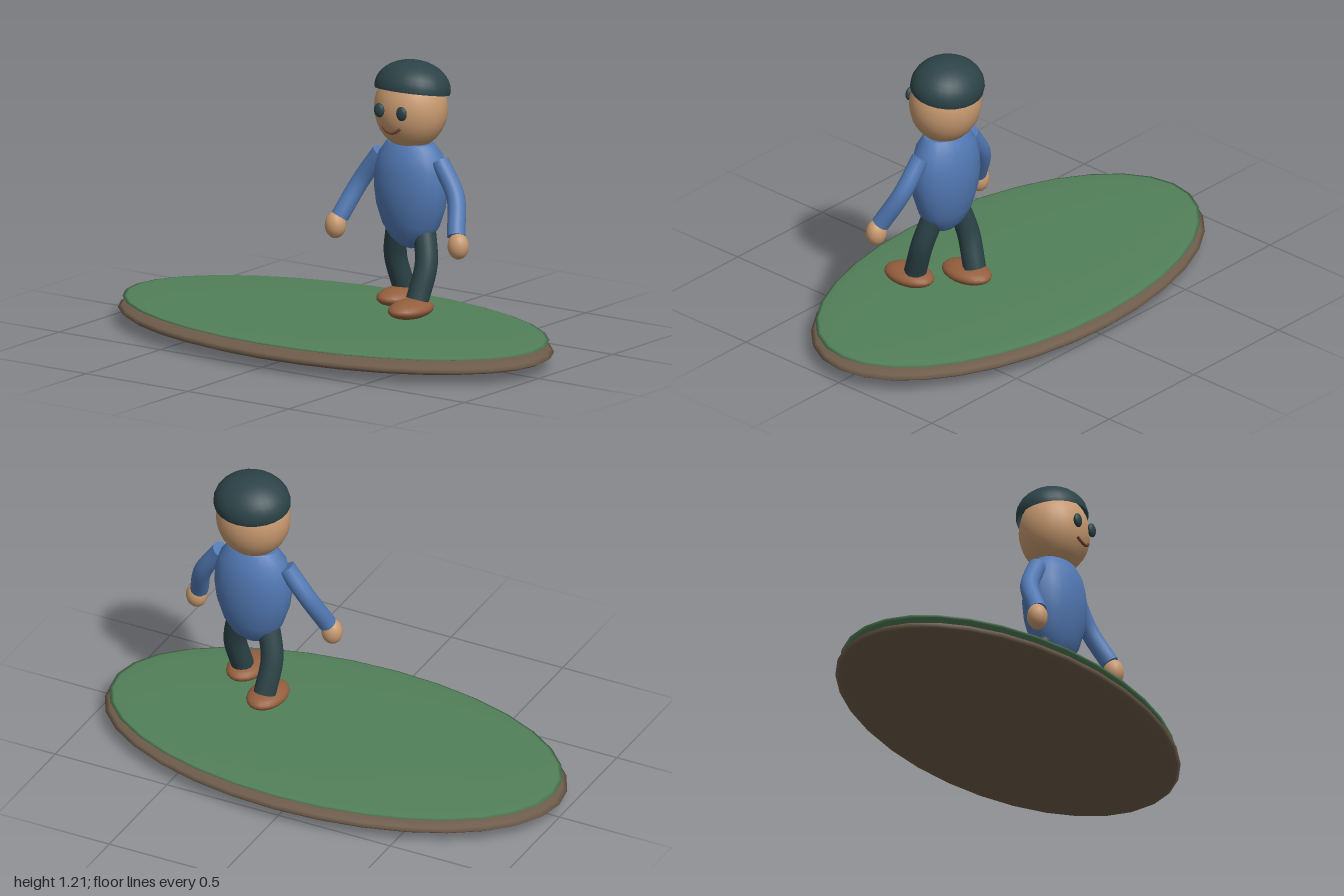
import * as THREE from 'three';

const material = (name, color) => {
  const m = new THREE.MeshStandardMaterial({ color });
  m.name = name;
  return m;
};

export function createModel() {
  const grass = material('grass green', 0x528059);
  const soil = material('soil brown', 0x6e5c4a);
  const skin = material('skin', 0xc89a70);
  const shirt = material('shirt blue', 0x5279b4);
  const dark = material('dark slate', 0x2c4348);
  const leather = material('shoe brown', 0x945f3e);
  const lip = material('mouth brown', 0x70432c);

  const model = new THREE.Group();
  model.name = 'walkingFigureOnIsland';

  const add = (parent, name, geometry, mat, pos = [0, 0, 0]) => {
    const mesh = new THREE.Mesh(geometry, mat);
    mesh.name = name;
    mesh.position.set(...pos);
    parent.add(mesh);
    return mesh;
  };
  const ellipsoid = (parent, name, mat, pos, size, w = 24, h = 16) =>
    add(parent, name, new THREE.SphereGeometry(1, w, h).scale(...size), mat, pos);

  // Curved limb with flat closed ends
  const limb = (parent, name, mat, points, radius) => {
    const curve = new THREE.CatmullRomCurve3(points.map(p => new THREE.Vector3(...p)));
    const group = new THREE.Group();
    group.name = name;
    parent.add(group);
    add(group, name + 'Tube', new THREE.TubeGeometry(curve, 16, radius, 14), mat);
    for (const t of [0, 1]) {
      const cap = add(group, name + 'Cap', new THREE.CircleGeometry(radius, 14), mat);
      cap.position.copy(curve.getPoint(t));
      const out = curve.getTangent(t).multiplyScalar(t ? 1 : -1);
      cap.quaternion.setFromUnitVectors(new THREE.Vector3(0, 0, 1), out);
    }
  };

  // Island: soil lens with a thinner grass lens on top
  ellipsoid(model, 'soilBase', soil, [0, 0.058, 0], [1, 0.058, 0.545], 32, 16);
  ellipsoid(model, 'grassTop', grass, [0, 0.104, 0], [0.98, 0.018, 0.53], 32, 16);

  const figure = new THREE.Group();
  figure.name = 'figure';
  figure.position.x = 0.37;
  model.add(figure);

  // Egg-shaped torso, flat at the neck
  const profile = [[0, 0.442], [0.045, 0.455], [0.09, 0.487], [0.128, 0.545], [0.155, 0.625],
    [0.165, 0.7], [0.16, 0.77], [0.143, 0.83], [0.11, 0.875], [0.1, 0.882]]
    .map(p => new THREE.Vector2(...p));
  add(figure, 'torso', new THREE.LatheGeometry(profile, 20).scale(1, 1, 0.7), shirt);
  const neck = add(figure, 'torsoTop', new THREE.CircleGeometry(0.1, 20).scale(1, 0.7, 1), shirt, [0, 0.882, 0]);
  neck.rotation.x = -Math.PI / 2;

  // Head with a cap tilted back
  ellipsoid(figure, 'head', skin, [0, 1.02, 0], [0.152, 0.165, 0.14]);
  const capMat = dark.clone();
  capMat.name = 'cap slate';
  capMat.side = THREE.DoubleSide;
  const cap = add(figure, 'cap',
    new THREE.SphereGeometry(1, 24, 10, 0, Math.PI * 2, 0, Math.PI * 0.54).scale(0.158, 0.112, 0.142),
    capMat, [0, 1.1, -0.011]);
  cap.rotation.x = -0.18;

  // Smile
  const smile = new THREE.QuadraticBezierCurve3(
    new THREE.Vector3(-0.042, 0.963, 0.13),
    new THREE.Vector3(0, 0.92, 0.147),
    new THREE.Vector3(0.042, 0.963, 0.13));
  add(figure, 'mouth', new THREE.TubeGeometry(smile, 12, 0.006, 8), lip);

  // Mirrored parts; the left leg steps forward
  for (const s of [-1, 1]) {
    const side = s > 0 ? 'left' : 'right';
    ellipsoid(figure, side + 'Eye', dark, [s * 0.055, 1.028, 0.139], [0.024, 0.029, 0.014], 16, 12);

    limb(figure, side + 'Arm', shirt,
      [[s * 0.145, 0.82, 0.003], [s * 0.235, 0.69, 0.02], [s * 0.287, 0.55, 0.088]], 0.037);
    ellipsoid(figure, side + 'Hand', skin, [s * 0.303, 0.514, 0.096], [0.044, 0.054, 0.041], 16, 12);

    const endZ = s > 0 ? 0.08 : -0.075;
    limb(figure, side + 'Leg', dark,
      [[s * 0.065, 0.54, 0], [s * 0.1, 0.4, endZ * 0.42], [s * 0.09, 0.26, endZ]], 0.046);
    ellipsoid(figure, side + 'Shoe', leather, [s * 0.085, 0.23, endZ + 0.037], [0.078, 0.038, 0.115], 20, 14);
  }

  return model;
}
